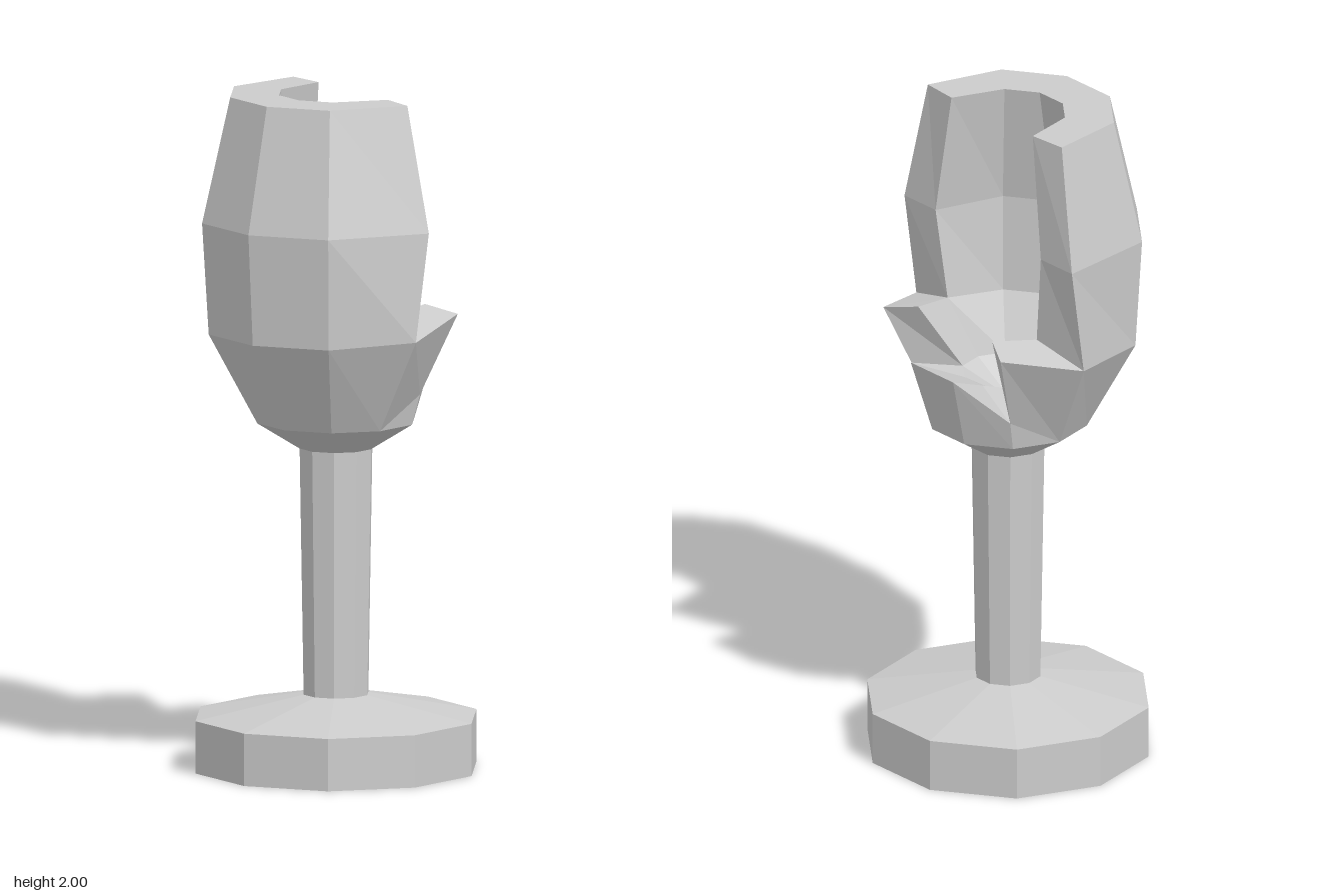
import * as THREE from 'three';

const material = new THREE.MeshStandardMaterial({ color: 0xcccccc, flatShading: true, side: THREE.DoubleSide });

// Point on a ring: angle in degrees from +x towards +z
const polar = (deg, r, y) => {
  const a = THREE.MathUtils.degToRad(deg);
  return [r * Math.cos(a), y, r * Math.sin(a)];
};
const mirror = (column) => column.map(([x, y, z]) => [x, y, -z]);

// Ten-sided turned part
function turned(name, profile) {
  const points = profile.map(([r, y]) => new THREE.Vector2(r, y));
  const mesh = new THREE.Mesh(new THREE.LatheGeometry(points, 10), material);
  mesh.name = name;
  return mesh;
}

function bowlGeometry() {
  const positions = [];
  // Skin between two neighbouring columns of points
  const loft = (a, b) => {
    for (let j = 0; j < a.length - 1; j++) {
      positions.push(...a[j], ...a[j + 1], ...b[j + 1]);
      positions.push(...a[j], ...b[j + 1], ...b[j]);
    }
  };
  const loftBothSides = (a, b) => {
    loft(a, b);
    loft(mirror(b), mirror(a));
  };

  const foot = (deg) => polar(deg, 0.11, 0.95);
  const low = (deg) => polar(deg, 0.238, 1.03);
  const floor = (deg) => polar(deg, 0.137, 1.18);
  const centre = [0, 1.1, 0];

  // Intact wall: up the outside, over the rim, down the inside
  const wall = (deg) => [
    foot(deg), low(deg), polar(deg, 0.385, 1.3), polar(deg, 0.405, 1.63), polar(deg, 0.32, 2),
    polar(deg, 0.172, 2), polar(deg, 0.245, 1.63), polar(deg, 0.23, 1.34), floor(deg), centre,
  ];
  // Where the wall is broken off
  const outer = [[0.03, 1.31, 0.385], [0.075, 1.63, 0.385], [0.05, 2, 0.308]];
  const inner = [[0.06, 1.36, 0.205], [0.075, 1.63, 0.242], [0.06, 2, 0.187]];
  const broken = [foot(90), low(90), ...outer, ...[...inner].reverse(), floor(90), centre];
  loftBothSides(broken, wall(126));
  loftBothSides(wall(126), wall(162));
  loft(wall(162), mirror(wall(162)));
  loftBothSides(inner, outer);

  // Side shards left standing beside the gap
  const notch = [0.16, 1.12, 0.205];
  const shardOuter = [0.25, 1.36, 0.27];
  const shardInner = [0.2, 1.38, 0.17];
  loftBothSides(
    [foot(54), low(54), notch, shardOuter, shardInner, floor(54), centre],
    [foot(90), low(90), low(90), outer[0], inner[0], floor(90), centre],
  );
  loftBothSides([floor(54), shardInner], [notch, shardOuter]);

  // Low lip at the bottom of the gap
  const lip = [foot(18), low(18), [0.288, 1.25, 0.097], floor(18), centre];
  loftBothSides(lip, [foot(54), low(54), notch, floor(54), centre]);
  loft(mirror(lip), lip);

  const geometry = new THREE.BufferGeometry();
  geometry.setAttribute('position', new THREE.Float32BufferAttribute(positions, 3));
  geometry.computeVertexNormals();
  return geometry;
}

export function createModel() {
  const group = new THREE.Group();
  group.name = 'brokenGoblet';
  group.add(turned('base', [[0, 0], [0.425, 0], [0.425, 0.155], [0.098, 0.22]]));
  group.add(turned('stem', [[0.098, 0.22], [0.11, 0.95]]));
  const bowl = new THREE.Mesh(bowlGeometry(), material);
  bowl.name = 'brokenBowl';
  group.add(bowl);
  return group;
}
